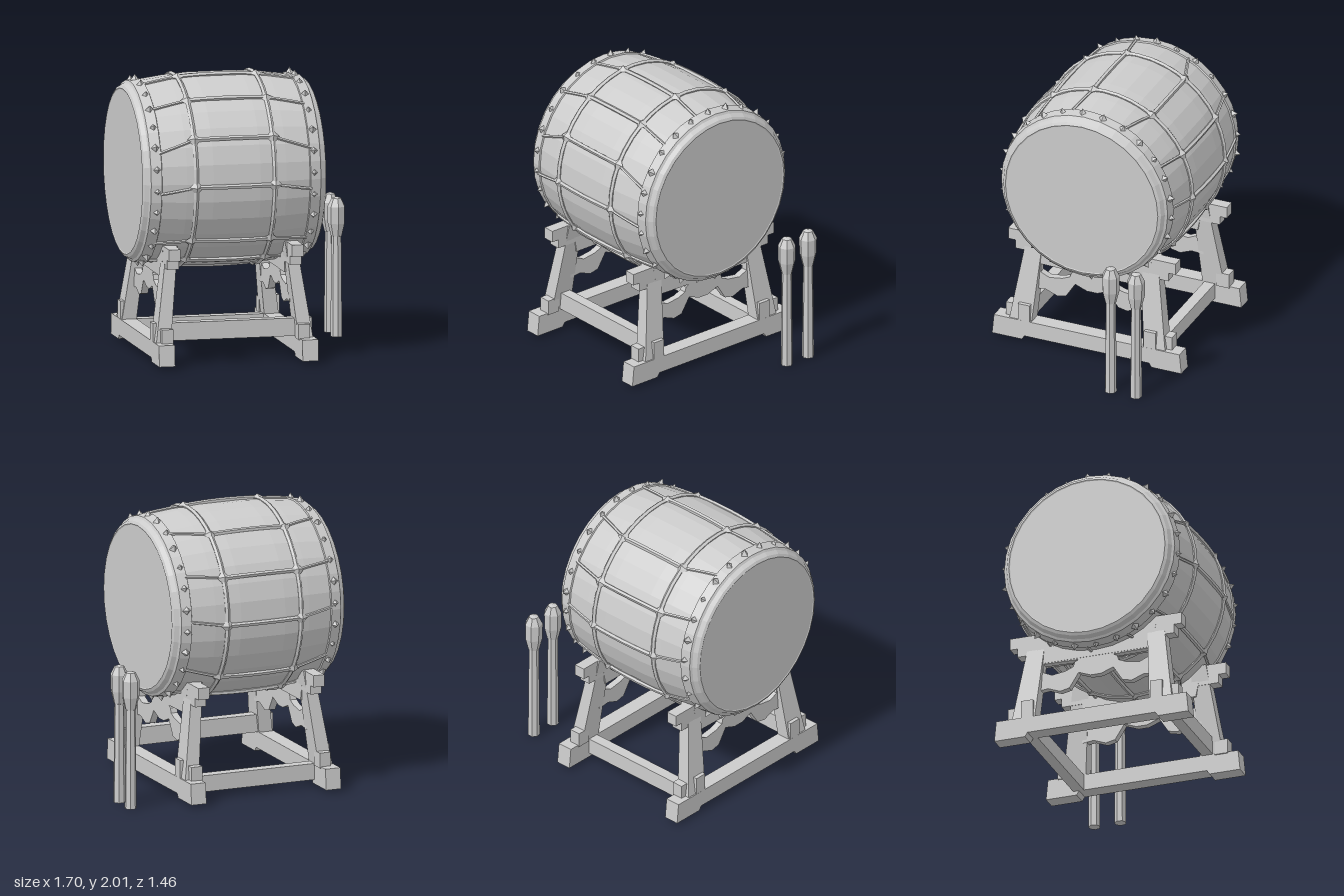
import * as THREE from 'three';

const mat = new THREE.MeshStandardMaterial({ color: 0xcccccc, flatShading: true });
const CX = -0.185, CY = 1.305; // drum centre
const rad = d => d * Math.PI / 180;

function add(parent, name, geo, x = 0, y = 0, z = 0) {
  const m = new THREE.Mesh(geo, mat);
  m.name = name;
  m.position.set(x, y, z);
  parent.add(m);
  return m;
}

function box(parent, name, x0, x1, y0, y1, z0, z1) {
  return add(parent, name, new THREE.BoxGeometry(x1 - x0, y1 - y0, z1 - z0),
    (x0 + x1) / 2, (y0 + y1) / 2, (z0 + z1) / 2);
}

// Barrel radius at a distance from the drum's middle
const barrel = u => 0.685 - 0.135 * u * u;
// Point on the barrel: u along the axis, a around it (0 = front, 90 = top)
const onDrum = (u, a, lift = 0) => new THREE.Vector3(u,
  Math.sin(rad(a)) * (barrel(u) + lift), Math.cos(rad(a)) * (barrel(u) + lift));

function rope(parent, name, from, to, r) {
  const pts = [];
  for (let i = 0; i <= 4; i++) {
    const t = i / 4;
    pts.push(onDrum(from[0] + (to[0] - from[0]) * t, from[1] + (to[1] - from[1]) * t, 0.004));
  }
  add(parent, name, new THREE.TubeGeometry(new THREE.CatmullRomCurve3(pts), 6, r, 5));
}

function makeDrum() {
  const drum = new THREE.Group();
  drum.name = 'drum';
  drum.position.set(CX, CY, 0);

  // Barrel with flat skins and raised end bands
  const half = [[0, 0.662], [0.58, 0.662], [0.588, 0.666], [0.608, 0.655], [0.625, 0.625],
    [0.642, 0.615], [0.655, 0.54], [0.645, 0.535], [0.668, 0.36], [0.682, 0.17]];
  const profile = [
    ...half.map(([r, u]) => new THREE.Vector2(r, -u)),
    ...half.slice().reverse().map(([r, u]) => new THREE.Vector2(r, u))
  ];
  add(drum, 'barrel', new THREE.LatheGeometry(profile, 32)).rotation.z = -Math.PI / 2;

  // Pointed tacks around both bands
  const tacks = 26;
  for (const s of [-1, 1]) {
    for (let i = 0; i < tacks; i++) {
      const a = (i + 0.3 * s) * 360 / tacks;
      const k = 0.8 + 0.4 * ((i * 7) % 5) / 4;
      const t = add(drum, 'tack', new THREE.ConeGeometry(0.036 * k, 0.05 * k, 4));
      t.position.copy(onDrum(s * 0.578, a)).setX(s * (0.57 + 0.012 * (k - 1)));
      t.position.y = Math.sin(rad(a)) * 0.658;
      t.position.z = Math.cos(rad(a)) * 0.658;
      t.rotation.x = rad(90 - a);
    }
  }

  // Ropes: two hoops, cross ropes, and knots with slanting tails
  const angles = [-2, 27, 55, 83, 123, 153, 182, 219, 242, 270, 300, 321];
  const hoops = [-0.295, 0.275];
  for (const u of hoops) {
    const h = add(drum, 'ropeHoop', new THREE.TorusGeometry(barrel(u) + 0.002, 0.018, 5, 40), u);
    h.rotation.y = Math.PI / 2;
  }
  angles.forEach((a, i) => {
    rope(drum, 'crossRope', [hoops[0] - 0.02, a], [hoops[1] + 0.02, a], 0.017);
    for (const u of hoops) {
      const s = Math.sign(u);
      const k = add(drum, 'knot', new THREE.OctahedronGeometry(0.04));
      k.position.copy(onDrum(u, a, 0.005));
      k.rotation.x = rad(90 - a);
      k.scale.set(1.25, 0.75, 1.3);
      const slant = i % 3 === 1 ? -7 : -4;
      rope(drum, 'ropeTail', [u, a], [s * 0.55, a + slant], 0.011);
    }
  });
  return drum;
}

// Box whose top is shifted and narrowed
function leaningPost(w, h, d, shiftX, shiftZ, topW, topD) {
  const g = new THREE.BoxGeometry(w, h, d).translate(0, h / 2, 0);
  const p = g.attributes.position;
  for (let i = 0; i < p.count; i++) {
    if (p.getY(i) > h / 2) {
      p.setX(i, p.getX(i) * topW / w + shiftX);
      p.setZ(i, p.getZ(i) * topD / d + shiftZ);
    }
  }
  return g;
}

// Outline in z and y, mirrored across z = 0, extruded along x
function crossPiece(halfPts, depth, holePts) {
  const full = [...halfPts, ...halfPts.slice().reverse().map(([z, y]) => [-z, y])];
  const shape = new THREE.Shape(full.map(([z, y]) => new THREE.Vector2(z, y)));
  for (const s of holePts ? [-1, 1] : []) {
    shape.holes.push(new THREE.Path(holePts.map(([z, y]) => new THREE.Vector2(s * z, y))));
  }
  return new THREE.ExtrudeGeometry(shape, { depth, bevelEnabled: false })
    .translate(0, 0, -depth / 2).rotateY(Math.PI / 2);
}

function makeTrestle(s) {
  const side = new THREE.Group();
  side.name = s > 0 ? 'leftTrestle' : 'rightTrestle';
  side.position.x = CX;
  const outer = s * 0.52, top = s * 0.445;

  // Base beam with feet
  const beam = [[0.48, 0.05], [0.5, 0.02], [0.73, 0.02], [0.715, 0.17]];
  add(side, 'baseBeam', crossPiece(beam, 0.115), outer);

  // Saddle under the drum
  const saddle = [[0, 0.61], [0.42, 0.61], [0.46, 0.82]];
  for (const a of [45, 55, 65, 75, 90]) {
    saddle.push([0.645 * Math.cos(rad(a)), CY - 0.645 * Math.sin(rad(a))]);
  }
  const saddlePts = saddle.slice(1, -1);
  add(side, 'saddle', crossPiece([...saddlePts, [0.05, 0.662]], 0.085), top);

  // Carved bracket with a cut-out at each side
  const bracket = [[0.04, 0.465], [0.13, 0.5], [0.155, 0.46], [0.2, 0.39], [0.27, 0.375],
    [0.36, 0.41], [0.45, 0.4], [0.45, 0.625]];
  const cut = [[0.13, 0.6], [0.16, 0.585], [0.17, 0.55], [0.23, 0.525], [0.33, 0.51],
    [0.395, 0.54], [0.395, 0.605]];
  add(side, 'bracket', crossPiece(bracket, 0.05, cut), s * 0.46);

  // Legs, tenons and foot blocks
  for (const f of [-1, 1]) {
    add(side, 'leg', leaningPost(0.105, 0.67, 0.17, -s * 0.085, -f * 0.075, 0.08, 0.12),
      s * 0.515, 0.17, f * 0.515);
    const z = (a, b) => f > 0 ? [a, b] : [-b, -a];
    box(side, 'upperTenon', top - 0.042, top + 0.042, 0.69, 0.84, ...z(0.42, 0.59));
    box(side, 'tenonTip', top - 0.042, top + 0.042, 0.755, 0.84, ...z(0.58, 0.645));
    box(side, 'footBlock', s * 0.495 - 0.042, s * 0.495 + 0.042, 0.16, 0.27, ...z(0.54, 0.64));
    box(side, 'railEnd', outer - 0.057, outer + 0.057, 0.16, 0.3, ...z(0.44, 0.53));
  }
  return side;
}

function makeStick(z) {
  const stick = new THREE.Group();
  stick.name = 'drumstick';
  stick.position.set(0.785, 0, z);
  add(stick, 'shaft', new THREE.CylinderGeometry(0.036, 0.043, 0.76, 7), 0, 0.38);
  const head = [[0, 0.7], [0.04, 0.72], [0.062, 0.81], [0.064, 0.93], [0.035, 0.988], [0, 1]];
  add(stick, 'head', new THREE.LatheGeometry(head.map(p => new THREE.Vector2(...p)), 7));
  return stick;
}

export function createModel() {
  const model = new THREE.Group();
  model.name = 'drumOnStand';
  model.add(makeDrum(), makeTrestle(-1), makeTrestle(1));
  // Rails joining the trestles
  box(model, 'frontRail', -0.75, 0.38, 0.17, 0.298, 0.445, 0.525);
  box(model, 'backRail', -0.7, 0.33, 0.05, 0.168, -0.525, -0.445);
  model.add(makeStick(-0.36), makeStick(-0.555));
  return model;
}
